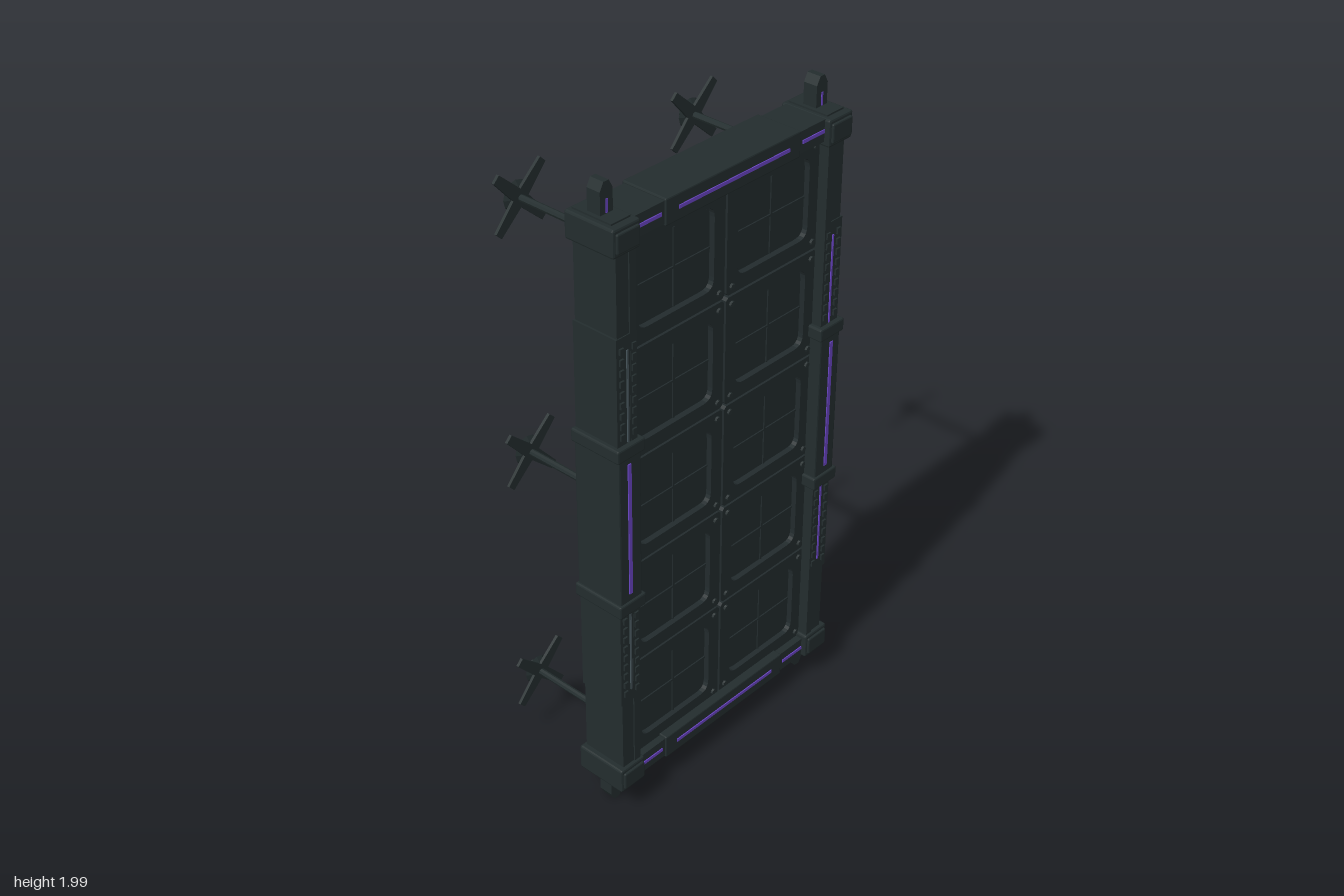
import * as THREE from 'three';
import { RoundedBoxGeometry } from 'three/addons/geometries/RoundedBoxGeometry.js';

const paint = (name, color, extra) => {
  const m = new THREE.MeshStandardMaterial({ color, ...extra });
  m.name = name;
  return m;
};

export function createModel() {
  const model = new THREE.Group();
  model.name = 'panelDoor';
  const dark = paint('darkSteel', 0x232d2e, { flatShading: true });
  const panelMat = paint('panelSteel', 0x222b2d, { flatShading: true });
  const purple = paint('purpleLight', 0x6a45c4);
  const grey = paint('greyTrim', 0x46545a);

  const add = (name, geo, mat, parent = model) => {
    const m = new THREE.Mesh(geo, mat);
    m.name = name;
    parent.add(m);
    return m;
  };
  // Box given by its limits, with optional bevel
  const box = (name, mat, x0, x1, y0, y1, z0, z1, bevel = 0, parent = model) => {
    const s = [Math.abs(x1 - x0), y1 - y0, z1 - z0];
    const geo = bevel ? new RoundedBoxGeometry(...s, 1, bevel) : new THREE.BoxGeometry(...s);
    const m = add(name, geo, mat, parent);
    m.position.set((x0 + x1) / 2, (y0 + y1) / 2, (z0 + z1) / 2);
    return m;
  };
  const MID = 1.003; // mirror height of the frame

  // Tapered pin profile
  const pinShape = new THREE.Shape([
    [-0.022, -0.03], [0.022, -0.03], [0.022, 0.068], [0.009, 0.092], [-0.009, 0.092], [-0.022, 0.068],
  ].map(p => new THREE.Vector2(...p)));
  const pinGeo = new THREE.ExtrudeGeometry(pinShape, { depth: 0.044, bevelEnabled: false });

  // Uprights, collars, corner blocks and pins
  for (const s of [-1, 1]) {
    const X = s * 0.403;
    box('upright', dark, s * 0.37, s * 0.435, 0.13, 1.88, 0.087, 0.232);
    box('uprightInnerStrip', dark, s * 0.368, s * 0.392, 0.17, 1.835, 0.1, 0.236);
    box('middleSleeve', dark, s * 0.363, s * 0.446, 0.765, 1.245, 0.083, 0.243, 0.005);
    box('middleLight', purple, X + 0.005 * s - 0.006, X + 0.005 * s + 0.006, 0.795, 1.215, 0.242, 0.246);
    for (const v of [-1, 1]) {
      const g = new THREE.Group();
      g.name = v > 0 ? 'upperUprightEnd' : 'lowerUprightEnd';
      const at = (name, mat, x0, x1, a, b, z0, z1, bevel) => {
        const y0 = MID + v * a, y1 = MID + v * b;
        return box(name, mat, x0, x1, Math.min(y0, y1), Math.max(y0, y1), z0, z1, bevel, g);
      };
      at('collar', dark, s * 0.354, s * 0.455, 0.232, 0.272, 0.079, 0.25, 0.005);
      at('outerSleeve', dark, s * 0.368, s * 0.441, 0.26, 0.592, 0.085, 0.235);
      at('sleeveLight', s > 0 ? purple : grey, X - 0.003, X + 0.003, 0.275, 0.55, 0.233, 0.238);
      // Ribs beside the light
      for (let i = 0; i < 9; i++) {
        for (const d of [-0.022, 0.022])
          at('rib', dark, X + d - 0.007, X + d + 0.007, 0.29 + i * 0.032, 0.308 + i * 0.032, 0.23, 0.241);
      }
      at('cornerBlock', dark, s * 0.358, s * 0.454, 0.825, 0.905, 0.077, 0.243, 0.006);
      at('cornerFace', dark, s * 0.366, s * 0.446, 0.837, 0.893, 0.235, 0.25, 0.004);
      at('cornerCap', dark, s * 0.372, s * 0.438, 0.9, 0.91, 0.09, 0.222);
      const pin = add('pin', pinGeo, dark, g);
      pin.position.set(s * 0.405, MID + v * 0.905, v > 0 ? 0.131 : 0.175);
      if (v < 0) pin.rotation.x = Math.PI;
      at('pinLight', purple, s * 0.405 - 0.003, s * 0.405 + 0.003, 0.912, 0.95, 0.173, 0.177);
      model.add(g);
    }
  }

  // Top and bottom beams with their sleeves and lights
  for (const v of [-1, 1]) {
    const yc = MID + v * 0.872;
    box('crossBeam', dark, -0.37, 0.37, yc - 0.032, yc + 0.032, 0.09, 0.226);
    box('beamSleeve', dark, -0.256, 0.256, yc - 0.038, yc + 0.038, 0.083, 0.231, 0.004);
    box('beamLight', purple, -0.21, 0.21, yc - 0.005, yc + 0.005, 0.23, 0.234);
    for (const s of [-1, 1])
      box('beamEndLight', purple, s * 0.268, s * 0.356, yc - 0.005, yc + 0.005, 0.225, 0.229);
  }

  // Panel outline with clipped corners and a rounded window
  const rounded = (w, h, r, Path) => {
    const p = new Path(), a = w / 2, b = h / 2;
    p.moveTo(-a + r, -b);
    p.lineTo(a - r, -b); p.quadraticCurveTo(a, -b, a, -b + r);
    p.lineTo(a, b - r); p.quadraticCurveTo(a, b, a - r, b);
    p.lineTo(-a + r, b); p.quadraticCurveTo(-a, b, -a, b - r);
    p.lineTo(-a, -b + r); p.quadraticCurveTo(-a, -b, -a + r, -b);
    return p;
  };
  const PW = 0.368, PH = 0.332, C = 0.008;
  const a = PW / 2, b = PH / 2;
  const outline = () => new THREE.Shape([
    [-a + C, -b], [a - C, -b], [a, -b + C], [a, b - C], [a - C, b], [-a + C, b], [-a, b - C], [-a, -b + C],
  ].map(p => new THREE.Vector2(...p)));
  const rim = outline();
  rim.holes.push(rounded(0.285, 0.245, 0.035, THREE.Path));
  const rimGeo = new THREE.ExtrudeGeometry(rim, { depth: 0.018, bevelEnabled: false, curveSegments: 5 });
  const backGeo = new THREE.ExtrudeGeometry(outline(), { depth: 0.016, bevelEnabled: false });
  const insetGeo = new THREE.ExtrudeGeometry(rounded(0.273, 0.233, 0.031, THREE.Shape),
    { depth: 0.006, bevelEnabled: false, curveSegments: 5 });
  const rivetGeo = new THREE.CylinderGeometry(0.008, 0.01, 0.008, 8).rotateX(Math.PI / 2);

  for (let row = 0; row < 5; row++) {
    for (const s of [-1, 1]) {
      const g = new THREE.Group();
      g.name = 'panel';
      g.position.set(s * (0.004 + a), 0.327 + row * 0.339, 0.17);
      add('panelBack', backGeo, panelMat, g);
      add('panelRim', rimGeo, panelMat, g).position.z = 0.016;
      add('panelInset', insetGeo, panelMat, g).position.z = 0.016;
      // Raised seams dividing the inset
      box('seamUpright', panelMat, -0.003, 0.003, -0.115, 0.115, 0.02, 0.026, 0, g);
      box('seamLevel', panelMat, -0.135, 0.135, -0.003, 0.003, 0.02, 0.026, 0, g);
      for (const i of [-1, 1]) for (const j of [-1, 1])
        add('rivet', rivetGeo, dark, g).position.set(i * 0.163, j * 0.143, 0.036);
      model.add(g);
    }
  }

  // Rear anchors: rod, four diagonal blades, flange and hub along -z
  const blade = new THREE.Shape([[0, -0.02], [0.115, -0.013], [0.115, 0.013], [0, 0.02]]
    .map(p => new THREE.Vector2(...p)));
  const bladeGeo = new THREE.ExtrudeGeometry(blade, { depth: 0.009, bevelEnabled: false });
  const turned = (r0, r1, z0, z1, sides) =>
    new THREE.CylinderGeometry(r1, r0, z0 - z1, sides).rotateX(-Math.PI / 2).translate(0, 0, (z0 + z1) / 2);
  const rodGeo = turned(0.01, 0.01, 0.083, -0.21, 8);
  const flangeGeo = turned(0.03, 0.045, -0.212, -0.223, 12);
  const hubGeo = turned(0.023, 0.023, -0.222, -0.243, 8);
  const tipGeo = turned(0.014, 0.01, -0.242, -0.255, 8);
  const anchors = [[0, 1.003]];
  for (const x of [-0.33, 0.33]) for (const y of [0.215, 1.003, 1.79]) anchors.push([x, y]);
  for (const [x, y] of anchors) {
    const g = new THREE.Group();
    g.name = 'rearAnchor';
    g.position.set(x, y, 0);
    add('rod', rodGeo, dark, g);
    add('flange', flangeGeo, dark, g);
    add('hub', hubGeo, dark, g);
    add('hubTip', tipGeo, dark, g);
    for (let i = 0; i < 4; i++) {
      const m = add('blade', bladeGeo, dark, g);
      m.position.z = -0.213;
      m.rotation.z = Math.PI / 4 + i * Math.PI / 2;
    }
    model.add(g);
  }
  return model;
}
